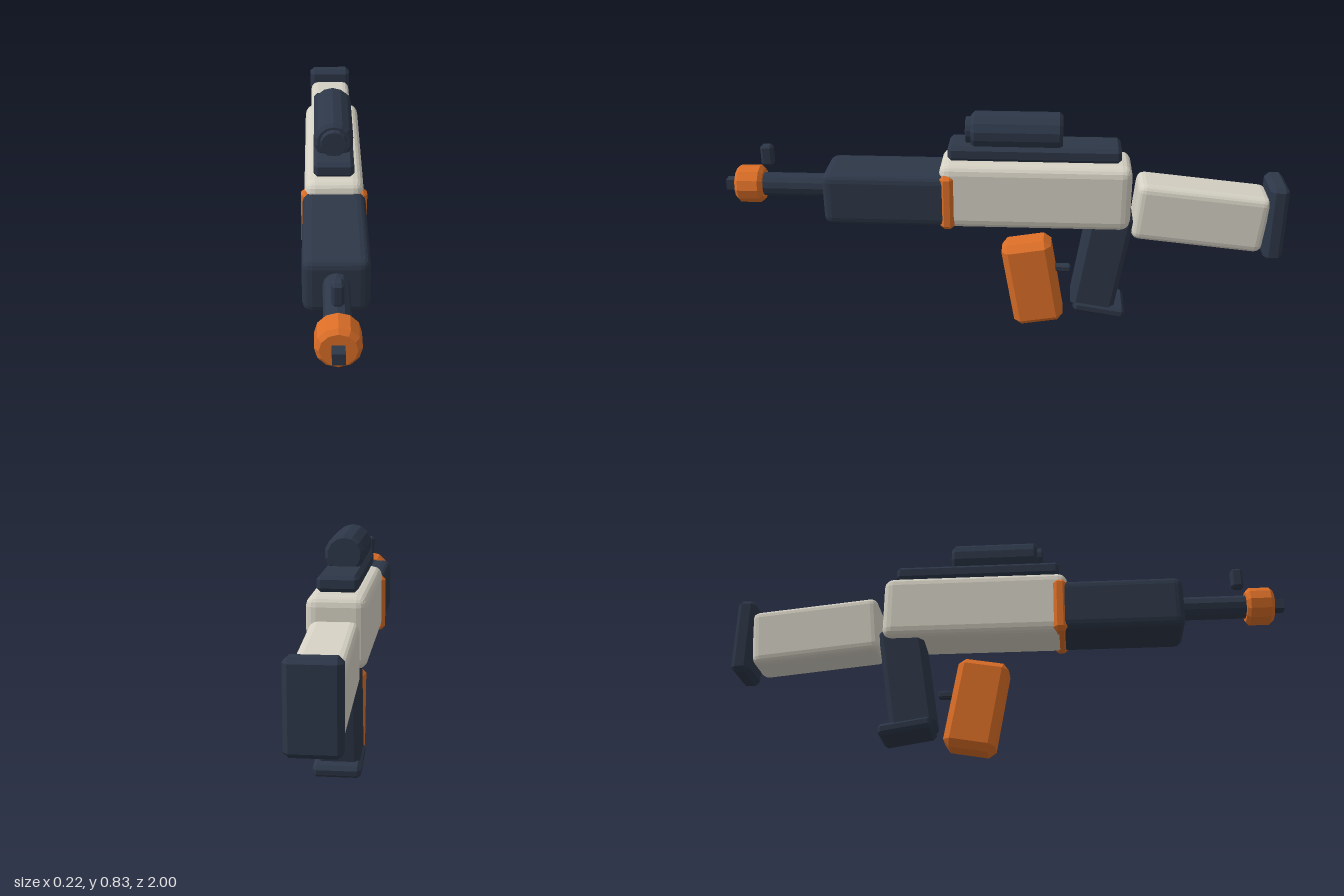
import * as THREE from 'three';
import { RoundedBoxGeometry } from 'three/addons/geometries/RoundedBoxGeometry.js';
import { ConvexGeometry } from 'three/addons/geometries/ConvexGeometry.js';

// Box with single-facet chamfers on every edge
function chamferBox(w, h, d, c) {
  const points = [];
  const half = [w / 2, h / 2, d / 2];
  for (const sx of [-1, 1]) for (const sy of [-1, 1]) for (const sz of [-1, 1]) {
    for (let full = 0; full < 3; full++) {
      const p = half.map((v, i) => (i === full ? v : v - c));
      points.push(new THREE.Vector3(sx * p[0], sy * p[1], sz * p[2]));
    }
  }
  return new ConvexGeometry(points);
}

// Faceted cylinder along z with chamfered rims
function chamferTube(radius, length, c, sides = 12) {
  const h = length / 2;
  const profile = [[0, -h], [radius - c, -h], [radius, -h + c], [radius, h - c], [radius - c, h], [0, h]]
    .map(([r, y]) => new THREE.Vector2(r, y));
  return new THREE.LatheGeometry(profile, sides).rotateX(Math.PI / 2);
}

export function createModel() {
  const group = new THREE.Group();
  const material = (name, color) => {
    const m = new THREE.MeshStandardMaterial({ color, flatShading: true });
    m.name = name;
    return m;
  };
  const navy = material('navy', 0x2d3748);
  const orange = material('orange', 0xdb6e27);
  const cream = material('cream', 0xd5d1c4);

  const add = (name, geometry, mat, y, z, tilt = 0) => {
    const mesh = new THREE.Mesh(geometry, mat);
    mesh.name = name;
    mesh.position.set(0, y, z);
    mesh.rotation.x = tilt;
    group.add(mesh);
  };

  // Main body
  add('receiver', new RoundedBoxGeometry(0.2, 0.242, 0.675, 2, 0.036), cream, 0.55, -0.117);
  add('handguard', new RoundedBoxGeometry(0.212, 0.197, 0.46, 2, 0.032), navy, 0.533, 0.405);
  add('collar', chamferBox(0.224, 0.205, 0.05, 0.014), orange, 0.532, 0.192);

  // Barrel and muzzle
  add('barrel', chamferTube(0.042, 0.32, 0.002), navy, 0.548, 0.74);
  add('muzzleRing', chamferTube(0.068, 0.098, 0.013), orange, 0.548, 0.911);
  add('muzzleTip', new THREE.BoxGeometry(0.038, 0.038, 0.06), navy, 0.548, 0.97);
  add('frontSight', chamferBox(0.037, 0.077, 0.044, 0.009), navy, 0.662, 0.842);

  // Rail and scope
  add('rail', chamferBox(0.136, 0.054, 0.605, 0.013), navy, 0.703, -0.112);
  add('scope', chamferTube(0.068, 0.32, 0.012, 14), navy, 0.77, -0.05);
  add('scopeLens', chamferTube(0.046, 0.04, 0.003, 14), navy, 0.772, 0.11);

  // Stock and butt plate
  add('stock', new RoundedBoxGeometry(0.16, 0.212, 0.468, 2, 0.028), cream, 0.474, -0.702, -0.1);
  add('buttPlate', chamferBox(0.168, 0.284, 0.066, 0.016), navy, 0.462, -0.967);

  // Grip and its foot
  add('grip', chamferBox(0.146, 0.4, 0.16, 0.018), navy, 0.287, -0.361, -0.16);
  add('gripFoot', chamferBox(0.16, 0.042, 0.19, 0.012), navy, 0.096, -0.358, -0.16);

  // Magazine and trigger
  add('magazine', chamferBox(0.12, 0.335, 0.184, 0.024), orange, 0.181, -0.111, 0.17);
  add('trigger', chamferBox(0.028, 0.025, 0.07, 0.005), navy, 0.232, -0.216);

  return group;
}
